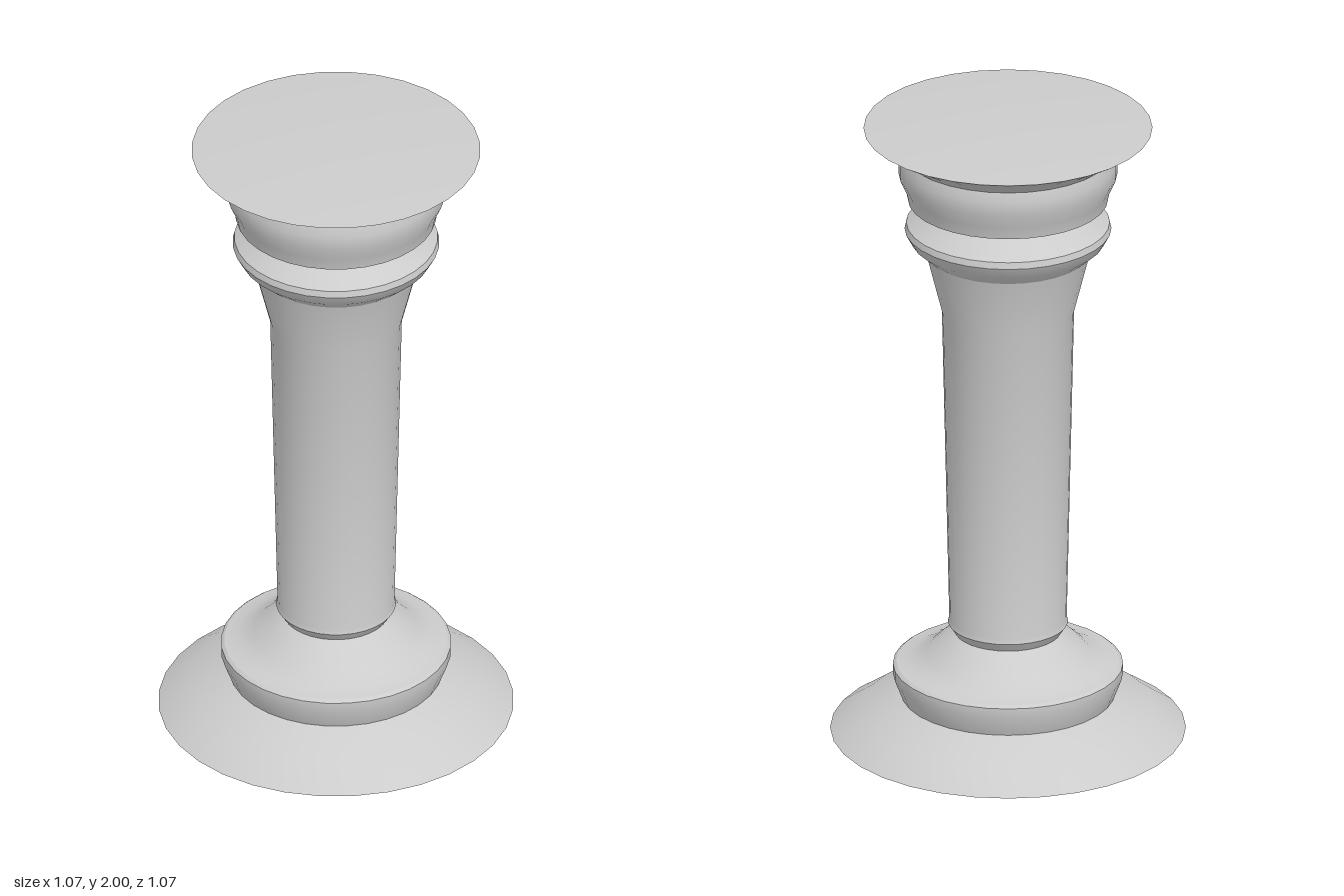
import * as THREE from 'three';
import { toCreasedNormals } from 'three/addons/utils/BufferGeometryUtils.js';

const SIDES = 32;

// Turned part from [radius, height] pairs, listed bottom to top
function turned(name, profile) {
  const points = profile.map(([r, y]) => new THREE.Vector2(r, y));
  const geometry = toCreasedNormals(new THREE.LatheGeometry(points, SIDES), 0.5);
  const mesh = new THREE.Mesh(geometry, new THREE.MeshStandardMaterial({ color: 0xcccccc }));
  mesh.name = name;
  return mesh;
}

export function createModel() {
  const column = new THREE.Group();
  column.name = 'column';

  column.add(
    // Flared foot with a very shallow conical underside
    turned('foot', [[0, 0], [0.533, 0.012], [0.435, 0.08], [0.32, 0.125]]),
    // Rounded moulding tapering up into the neck
    turned('baseMoulding', [
      [0.32, 0.125], [0.345, 0.19], [0.345, 0.222], [0.335, 0.23], [0.295, 0.236],
      [0.245, 0.262], [0.205, 0.3], [0.16, 0.33],
    ]),
    // Shaft, widening slightly and then flaring under the capital
    turned('shaft', [[0.16, 0.33], [0.18, 0.36], [0.176, 0.375], [0.198, 1.375], [0.247, 1.57]]),
    // Stacked rings of the capital
    turned('capitalRings', [
      [0.247, 1.57], [0.29, 1.608], [0.31, 1.645], [0.305, 1.665], [0.275, 1.685],
      [0.235, 1.715], [0.25, 1.73], [0.3, 1.74], [0.308, 1.78], [0.328, 1.825],
      [0.328, 1.87], [0.32, 1.9],
    ]),
    // Flared top plate with a shallow conical upper face
    turned('topPlate', [[0.32, 1.9], [0.36, 1.93], [0.433, 1.973], [0, 2]]),
  );
  return column;
}
